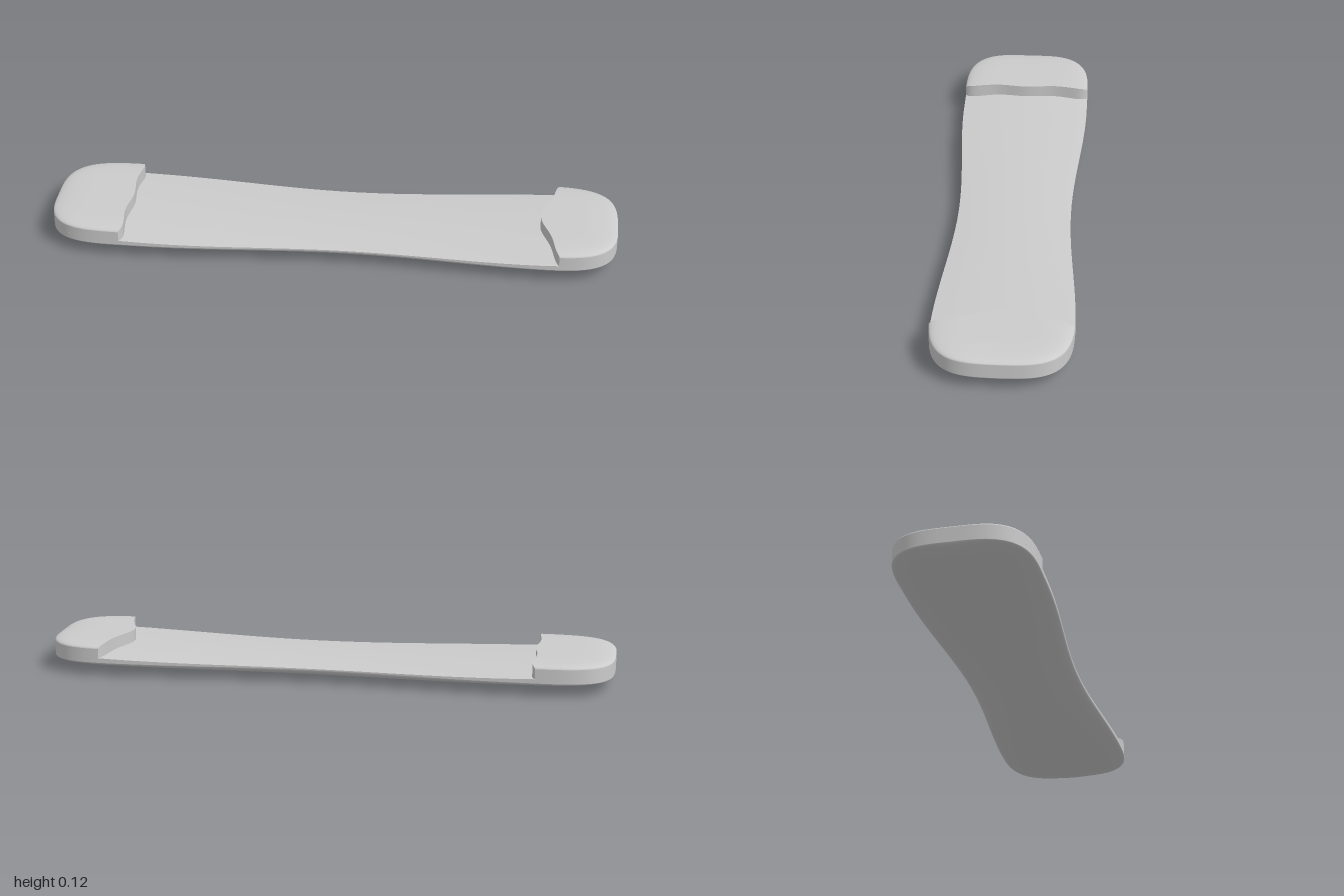
import * as THREE from 'three';
import { mergeGeometries } from 'three/addons/utils/BufferGeometryUtils.js';

// Rounded-end position: 0 on the shank, 1 at the very tip
const tip = (x) => Math.min(1, Math.max(0, (Math.abs(x) - 0.72) / 0.28));
// Soft shoulder falling to zero at the rim
const rim = (x, v, n = 6) =>
  Math.sqrt(Math.max(0, (1 - tip(x) ** 6) * (1 - Math.abs(v) ** n)));

// Half width of the outline: waisted in the middle, rounded at both ends
function halfWidth(x) {
  const a = Math.min(1, Math.abs(x - 0.06) / 0.72);
  const waist = 0.236 - 0.037 * (1 + Math.cos(Math.PI * a)) / 2;
  return waist * Math.max(0, 1 - tip(x) ** 3.3) ** (1 / 3.3);
}

// Height fields over x and the cross fraction v (-1..1)
const underside = (x, v) =>
  0.05 - 0.048 * (1 - 0.55 * x * x) * (1 - 0.57 * Math.abs(v) ** 1.3) * rim(x, v, 8);
const strapTop = (x, v) => 0.054 + 0.02 * x * x + 0.01 * (1 - v * v);
const padTop = (x, v) => 0.1 + 0.017 * rim(x, v);

// Smooth grid surface; its front faces du x dv unless flipped
function grid(f, nu, nv, flip) {
  const pos = [], idx = [];
  for (let i = 0; i <= nu; i++)
    for (let j = 0; j <= nv; j++) pos.push(...f(i / nu, j / nv));
  for (let i = 0; i < nu; i++)
    for (let j = 0; j < nv; j++) {
      const a = i * (nv + 1) + j, b = a + nv + 1;
      if (flip) idx.push(a, a + 1, b, b, a + 1, b + 1);
      else idx.push(a, b, a + 1, b, b + 1, a + 1);
    }
  const g = new THREE.BufferGeometry();
  g.setAttribute('position', new THREE.Float32BufferAttribute(pos, 3));
  g.setIndex(idx);
  g.computeVertexNormals();
  return g;
}

// Slab between two height fields; xAt(s, v) sweeps its length, dir is the sweep direction
function slab(name, xAt, low, high, dir, nu, innerFace) {
  const across = (k) => Math.sin((k * 2 - 1) * Math.PI / 2);
  const point = (s, v, h) => {
    const x = xAt(s, v);
    return [x, low(x, v) + (high(x, v) - low(x, v)) * h, v * halfWidth(x)];
  };
  const back = dir < 0;
  const parts = [
    grid((s, k) => point(s, across(k), 1), nu, 40, !back),
    grid((s, k) => point(s, across(k), 0), nu, 40, back),
    grid((s, h) => point(s, 1, h), nu, 1, back),
    grid((s, h) => point(s, -1, h), nu, 1, !back),
  ];
  if (innerFace) parts.push(grid((h, k) => point(0, across(k), h), 2, 40, !back));
  const mesh = new THREE.Mesh(
    mergeGeometries(parts),
    new THREE.MeshStandardMaterial({ color: 0xcccccc }),
  );
  mesh.name = name;
  return mesh;
}

export function createModel() {
  const group = new THREE.Group();
  group.name = 'curvedStrap';

  // Thin waisted strap with a keel-like belly
  const fullLength = (s) => {
    const t = s * 2 - 1;
    return Math.sign(t) * (1 - (1 - Math.abs(t)) ** 3);
  };
  group.add(slab('strap', fullLength, underside, strapTop, 1, 96, false));

  // Raised end pads, each with its own wavy inner edge
  const edges = {
    leftPad: [1, (v) => 0.73 + 0.05 * (1 - Math.exp(-((v / 0.45) ** 2))) + 0.018 * v ** 8],
    rightPad: [-1, (v) => 0.728 - 0.005 * Math.cos(v * Math.PI * 2.2) + 0.012 * v ** 16],
  };
  for (const [name, [dir, inner]] of Object.entries(edges)) {
    const xAt = (s, v) => {
      const e = 1 - (1 - s) ** 3;
      return dir * (inner(v) + (1 - inner(v)) * e);
    };
    const seat = (x, v) => strapTop(x, v) - 0.002;
    group.add(slab(name, xAt, seat, padTop, dir, 32, true));
  }
  return group;
}
